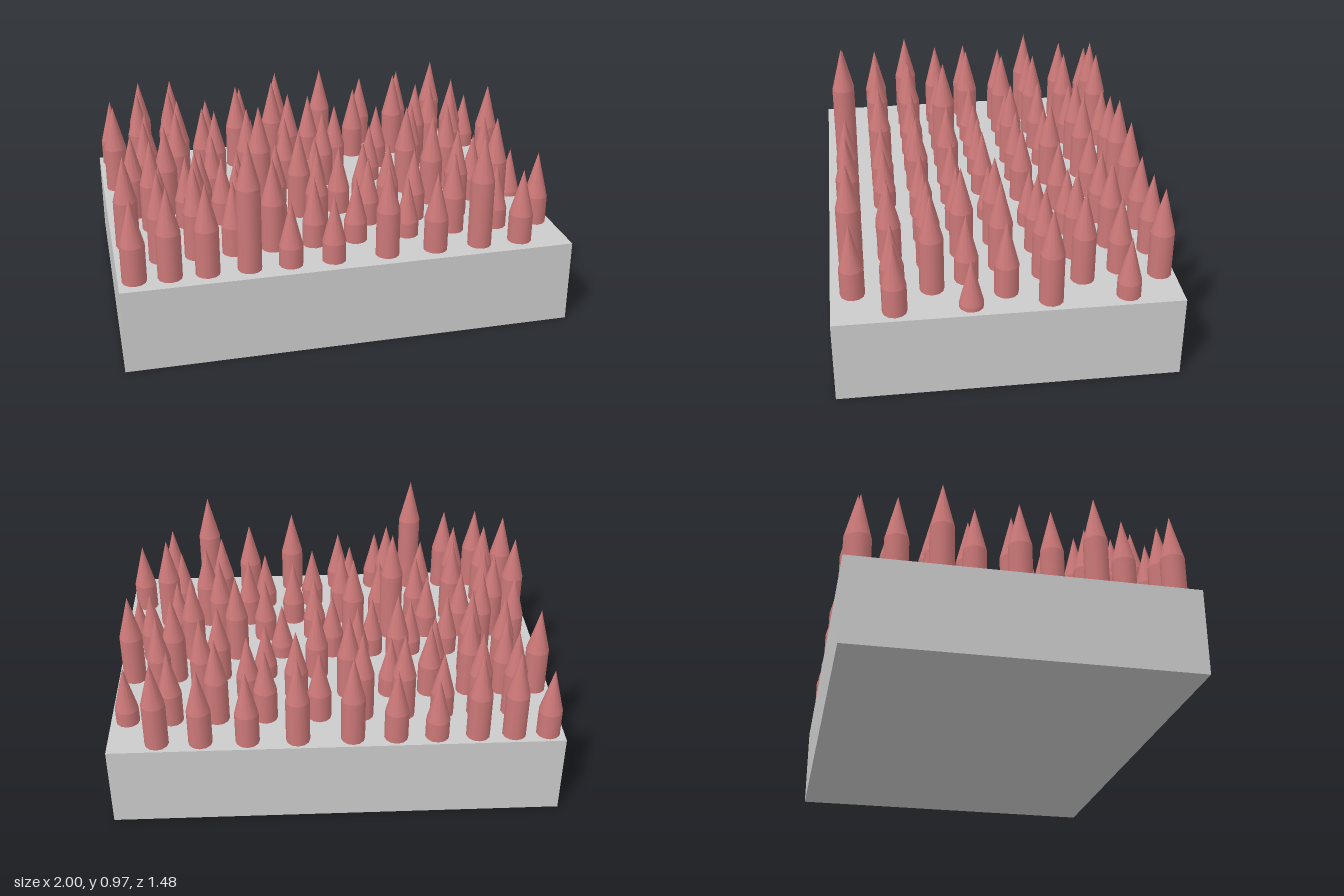
import * as THREE from 'three';

const TOP = 0.38;      // top of the base slab
const RADIUS = 0.053;  // spike radius
const TIP = 0.21;      // length of every pointed tip
const SIDES = 12;

// Three staggered column layouts shared by the rows
const A = [-0.93, -0.78, -0.62, -0.44, -0.26, -0.07, 0.17, 0.39, 0.595, 0.785];
const B = [-0.8, -0.645, -0.48, -0.305, -0.12, 0.07, 0.31, 0.525, 0.73, 0.925];
const M = [-0.875, -0.72, -0.56, -0.385, -0.2, -0.01, 0.23, 0.445, 0.65, 0.845];

// Each row: depth, columns, tip heights
const ROWS = [
  { z: -0.675, xs: A, tips: [0.71, 0.8, 0.8, 0.68, 0.73, 0.8, 0.8, 0.74, 0.76, 0.8] },
  { z: -0.508, xs: B, tips: [0.8, 0.8, 0.7, 0.8, 0.81, 0.72, 0.74, 0.8, 0.74, 0.66] },
  { z: -0.338, xs: A, tips: [0.8, 0.76, 0.81, 0.74, 0.68, 0.8, 0.72, 0.7, 0.8, 0.81] },
  { z: -0.178, xs: B, tips: [0.78, 0.81, 0.68, 0.8, 0.74, 0.75, 0.66, 0.76, 0.81, 0.82] },
  { z: 0.0, xs: M, tips: [0.78, 0.81, 0.68, 0.66, 0.68, 0.7, 0.65, 0.81, 0.81, 0.73] },
  { z: 0.157, xs: B, tips: [0.81, 0.72, 0.7, 0.93, 0.8, 0.7, 0.7, 0.81, 0.7, 0.61] },
  { z: 0.31, xs: A, tips: [0.81, 0.75, 0.8, 0.72, 0.7, 0.76, 0.7, 0.72, 0.8, 0.84] },
  { z: 0.475, xs: B, tips: [0.8, 0.8, 0.72, 0.81, 0.7, 0.68, 0.66, 0.76, 0.68, 0.72] },
  { z: 0.645, xs: A, tips: [0.76, 0.8, 0.8, 0.97, 0.68, 0.68, 0.8, 0.74, 0.9, 0.72] },
];

export function createModel() {
  const model = new THREE.Group();
  const grey = new THREE.MeshStandardMaterial({ color: 0xcccccc });
  const red = new THREE.MeshStandardMaterial({ color: 0xcc7878 });

  // Base slab
  const base = new THREE.Mesh(new THREE.BoxGeometry(2, TOP, 1.48), grey);
  base.name = 'base';
  base.position.y = TOP / 2;
  model.add(base);

  // Spikes: a straight shaft of varying height under a constant tip
  const shaftGeometry = new THREE.CylinderGeometry(RADIUS, RADIUS, 1, SIDES, 1, true).translate(0, 0.5, 0);
  const tipGeometry = new THREE.ConeGeometry(RADIUS, TIP, SIDES, 1, true).translate(0, TIP / 2, 0);
  ROWS.forEach(({ z, xs, tips }) => {
    const row = new THREE.Group();
    row.name = 'spikeRow';
    row.position.set(0, TOP, z);
    xs.forEach((x, i) => {
      const spike = new THREE.Group();
      spike.name = 'spike';
      spike.position.x = x;
      const height = tips[i] - TOP - TIP;
      const shaft = new THREE.Mesh(shaftGeometry, red);
      shaft.name = 'shaft';
      shaft.scale.y = height;
      const tip = new THREE.Mesh(tipGeometry, red);
      tip.name = 'tip';
      tip.position.y = height;
      spike.add(shaft, tip);
      row.add(spike);
    });
    model.add(row);
  });
  return model;
}
